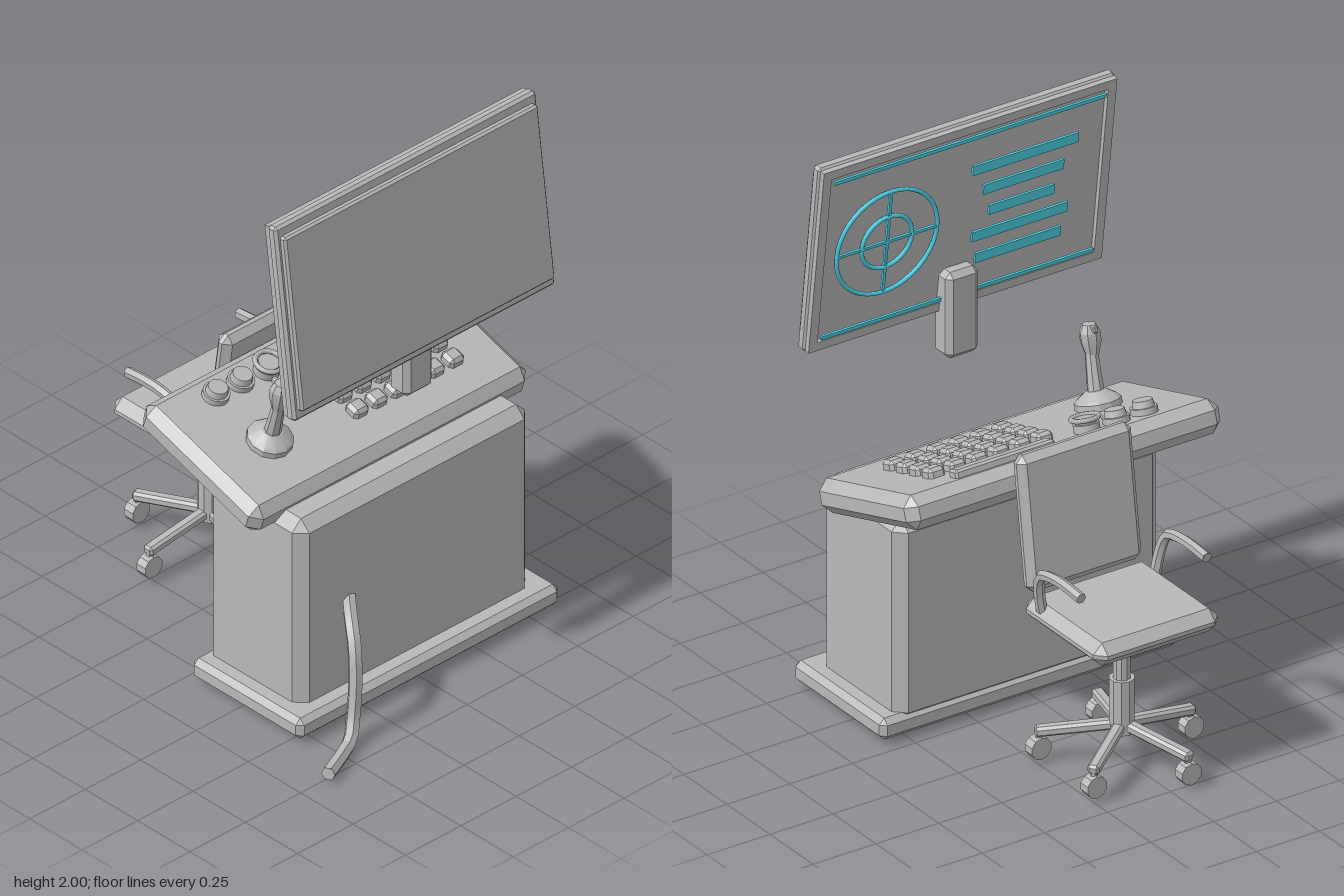
import * as THREE from 'three';
import { toCreasedNormals } from 'three/addons/utils/BufferGeometryUtils.js';
import { ConvexGeometry } from 'three/addons/geometries/ConvexGeometry.js';

const gray = new THREE.MeshStandardMaterial({ color: 0xb8b8b8 });
gray.name = 'grey casing';
const cyan = new THREE.MeshStandardMaterial({ color: 0x50d4e8 });
cyan.name = 'cyan display';

const CX = 0.02; // shared centre line of desk, cabinet, display and chair

function add(parent, name, geometry, x = 0, y = 0, z = 0, material = gray) {
  const mesh = new THREE.Mesh(geometry, material);
  mesh.name = name;
  mesh.position.set(x, y, z);
  parent.add(mesh);
  return mesh;
}

function group(parent, name, x = 0, y = 0, z = 0) {
  const g = new THREE.Group();
  g.name = name;
  g.position.set(x, y, z);
  parent.add(g);
  return g;
}

// Box with every edge cut at 45 degrees
function chamferBox(w, h, d, c) {
  const points = [];
  for (const x of [-w / 2, w / 2]) for (const y of [-h / 2, h / 2]) for (const z of [-d / 2, d / 2]) {
    const ix = x - Math.sign(x) * c, iy = y - Math.sign(y) * c, iz = z - Math.sign(z) * c;
    points.push(new THREE.Vector3(x, iy, iz), new THREE.Vector3(ix, y, iz), new THREE.Vector3(ix, iy, z));
  }
  return new ConvexGeometry(points);
}

const cylinder = (rTop, rBottom, h, sides) =>
  toCreasedNormals(new THREE.CylinderGeometry(rTop, rBottom, h, sides), 0.5);

const turned = (profile, sides) =>
  toCreasedNormals(new THREE.LatheGeometry(profile.map(p => new THREE.Vector2(...p)), sides), 0.3);

// Faceted tube along a path, closed at both ends
function tube(parent, name, path, radius, segments) {
  const curve = new THREE.CatmullRomCurve3(path.map(p => new THREE.Vector3(...p)));
  const g = group(parent, name);
  add(g, name + 'Body', toCreasedNormals(new THREE.TubeGeometry(curve, segments, radius, 6), 0.4));
  for (const [t, sign] of [[0, -1], [1, 1]]) {
    const cap = add(g, name + 'End', new THREE.CircleGeometry(radius, 6));
    cap.position.copy(curve.getPoint(t));
    cap.lookAt(curve.getPoint(t).addScaledVector(curve.getTangent(t), sign));
  }
}

function buildCabinet(root) {
  const g = group(root, 'cabinet');
  add(g, 'plinth', chamferBox(1.18, 0.08, 0.525, 0.02), CX, 0.06, 0.293);
  add(g, 'cabinetBody', chamferBox(1.05, 0.75, 0.455, 0.04), CX, 0.435, 0.262);
  tube(g, 'cable', [[-0.27, 0.425, 0.47], [-0.335, 0.405, 0.55], [-0.375, 0.34, 0.61], [-0.395, 0.2, 0.635],
    [-0.415, 0.09, 0.645], [-0.45, 0.035, 0.67], [-0.52, 0.026, 0.705], [-0.64, 0.034, 0.765]], 0.025, 16);
}

function buildDesk(root) {
  const g = group(root, 'controlDesk', CX, 0.885, 0.095);
  g.rotation.x = THREE.MathUtils.degToRad(17.5);
  const top = 0.06;
  add(g, 'deskTop', chamferBox(1.25, 0.12, 0.585, 0.036));

  // Keypad
  const key = chamferBox(0.064, 0.05, 0.062, 0.012);
  for (let col = 0; col < 6; col++) for (let row = 0; row < 4; row++)
    add(g, 'key', key, -0.02 + col * 0.086, top + 0.008, -0.123 + row * 0.079);
  add(g, 'indicatorStrip', chamferBox(0.395, 0.045, 0.05, 0.008), 0.2, top + 0.005, -0.22);

  // Push buttons and ringed dial
  for (const x of [-0.387, -0.276]) {
    add(g, 'buttonCollar', cylinder(0.047, 0.047, 0.024, 16), x, top + 0.01, -0.185);
    add(g, 'buttonCap', cylinder(0.034, 0.04, 0.03, 16), x, top + 0.03, -0.185);
  }
  add(g, 'dialCollar', cylinder(0.045, 0.045, 0.03, 16), -0.164, top + 0.013, -0.178);
  add(g, 'dialCap', cylinder(0.036, 0.036, 0.03, 16), -0.164, top + 0.03, -0.178);
  const ring = add(g, 'dialRing', new THREE.TorusGeometry(0.047, 0.009, 6, 20), -0.164, top + 0.045, -0.178);
  ring.rotation.x = Math.PI / 2;

  // Joystick
  const stick = group(g, 'joystick', -0.365, top, 0.06);
  add(stick, 'joystickBase', turned([[0.08, -0.01], [0.08, 0.022], [0.07, 0.032], [0.036, 0.055], [0, 0.062]], 12));
  add(stick, 'joystickShaft', cylinder(0.022, 0.03, 0.15, 8), -0.005, 0.115, 0.002).rotation.z = 0.07;
  const grip = group(stick, 'joystickGrip', -0.012, 0.17, 0.003);
  grip.rotation.x = -0.12;
  add(grip, 'gripHandle', turned([[0, 0], [0.023, 0.005], [0.036, 0.05], [0.037, 0.085], [0.024, 0.112], [0, 0.117]], 8));
  add(grip, 'gripTrigger', chamferBox(0.02, 0.026, 0.026, 0.005), 0, 0.1, -0.03);
}

function buildDisplay(root) {
  add(root, 'displayNeck', chamferBox(0.13, 0.32, 0.095, 0.02), CX, 1.27, 0.462);
  const g = group(root, 'display', CX, 1.635, 0.455);
  g.rotation.x = THREE.MathUtils.degToRad(-7.3);
  add(g, 'screenPanel', chamferBox(1.18, 0.73, 0.042, 0.01), 0, 0, 0.008);
  add(g, 'rearCover', chamferBox(1.145, 0.655, 0.05, 0.008), 0, 0, 0.027);

  // Raised bezel around the screen
  const rect = (shape, w, h) => shape.moveTo(-w, -h).lineTo(w, -h).lineTo(w, h).lineTo(-w, h).closePath();
  const outline = new THREE.Shape();
  const opening = new THREE.Path();
  rect(outline, 0.583, 0.358);
  rect(opening, 0.55, 0.325);
  outline.holes.push(opening);
  add(g, 'bezel', new THREE.ExtrudeGeometry(outline, { depth: 0.02, bevelEnabled: false }), 0, 0, -0.03);

  // Target circles, rules and readout bars
  const hud = group(g, 'screenGraphics', 0, 0, -0.033);
  const plate = (name, w, h, x, y) => add(hud, name, new THREE.BoxGeometry(w, h, 0.009), x, y, 0, cyan);
  for (const r of [0.2, 0.1])
    add(hud, 'targetRing', new THREE.TorusGeometry(r, 0.008, 6, 40), 0.305, 0, 0, cyan);
  plate('crosshair', 0.4, 0.011, 0.305, 0);
  plate('crosshair', 0.011, 0.4, 0.305, 0);
  for (const y of [-0.308, 0.308]) plate('screenRule', 1.08, 0.014, 0, y);
  [0.42, 0.32, 0.26, 0.38, 0.34].forEach((w, i) => plate('readoutBar', w, 0.038, -0.23, 0.175 - i * 0.09));
}

function buildChair(root) {
  const g = group(root, 'chair', CX, 0, -0.497);
  add(g, 'seat', chamferBox(0.495, 0.085, 0.46, 0.035), 0, 0.56, 0);
  const back = add(g, 'backrest', chamferBox(0.455, 0.485, 0.065, 0.025), 0, 0.845, 0.258);
  back.rotation.x = THREE.MathUtils.degToRad(8);
  for (const s of [-1, 1])
    tube(g, 'armrest', [[s * 0.225, 0.58, 0.135], [s * 0.24, 0.66, 0.13], [s * 0.25, 0.73, 0.105],
      [s * 0.25, 0.752, 0.04], [s * 0.25, 0.757, -0.04], [s * 0.25, 0.75, -0.13]], 0.019, 12);

  // Gas column
  add(g, 'upperColumn', cylinder(0.03, 0.03, 0.24, 10), 0, 0.42, 0);
  add(g, 'lowerColumn', cylinder(0.044, 0.044, 0.2, 10), 0, 0.225, 0);

  // Five legs, each with a caster
  const wheel = cylinder(0.04, 0.04, 0.042, 10).rotateX(Math.PI / 2);
  for (let i = 0; i < 5; i++) {
    const a = Math.PI + i * Math.PI * 0.4;
    const arm = group(g, 'leg');
    arm.rotation.y = a;
    add(arm, 'legBar', chamferBox(0.285, 0.036, 0.042, 0.009), 0.145, 0.137, 0).rotation.z = -0.13;
    add(arm, 'casterStem', cylinder(0.013, 0.013, 0.06, 6), 0.272, 0.1, 0);
    add(g, 'casterWheel', wheel, Math.cos(a) * 0.275, 0.06, -Math.sin(a) * 0.275);
  }
}

export function createModel() {
  const root = new THREE.Group();
  root.name = 'controlStation';
  buildCabinet(root);
  buildDesk(root);
  buildDisplay(root);
  buildChair(root);
  return root;
}
